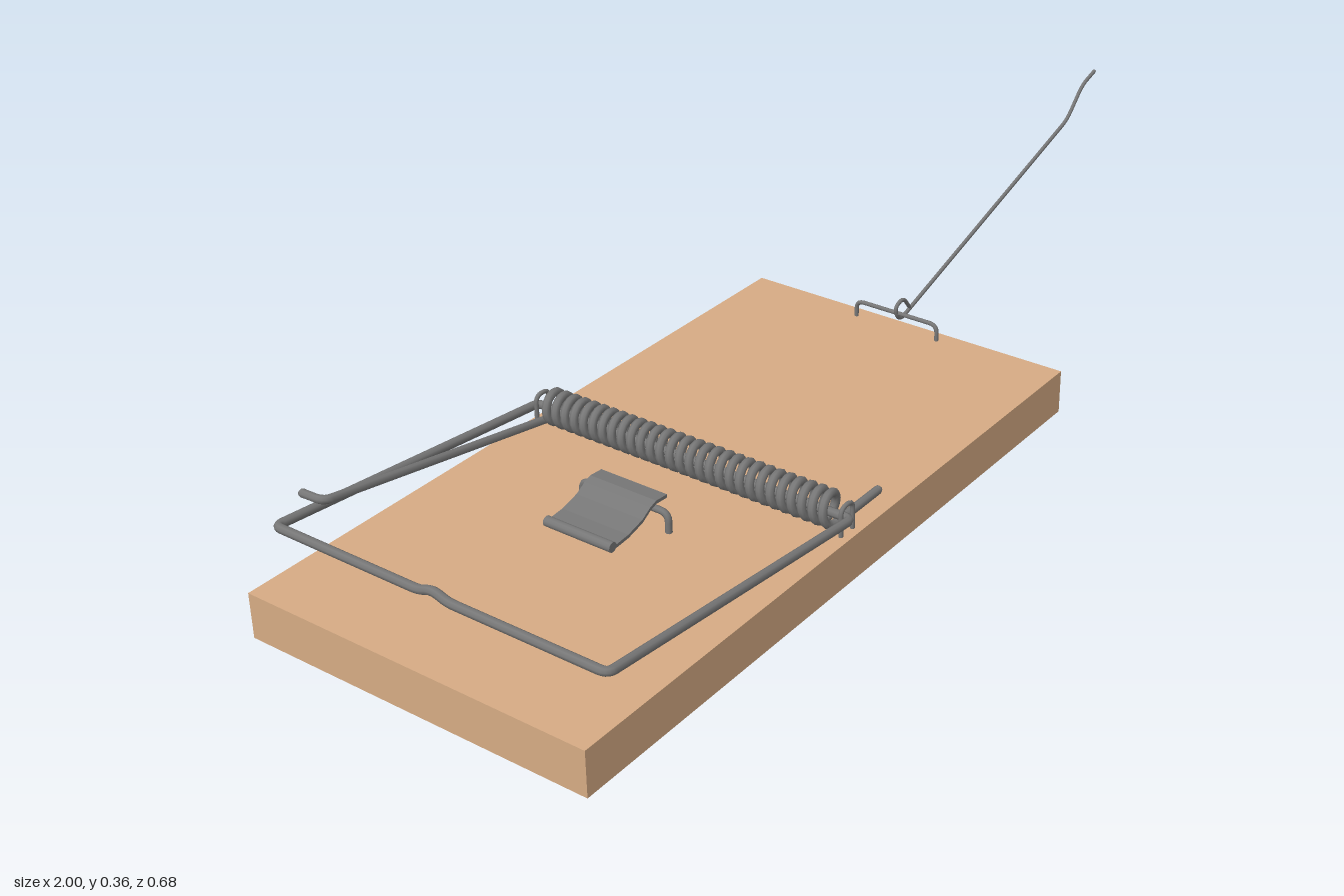
import * as THREE from 'three';
import { mergeGeometries } from 'three/addons/utils/BufferGeometryUtils.js';

const wood = new THREE.MeshStandardMaterial({ color: 0xd6ab84 });
const steel = new THREE.MeshStandardMaterial({ color: 0x777777 });
const V = (x, y, z) => new THREE.Vector3(x, y, z);

// Curve that visits its points one per segment, so bends stay crisp
class PointPath extends THREE.Curve {
  constructor(points) { super(); this.points = points; }
  getPoint(t) {
    const f = t * (this.points.length - 1);
    const i = Math.min(Math.floor(f), this.points.length - 2);
    return this.points[i].clone().lerp(this.points[i + 1], f - i);
  }
  getPointAt(t) { return this.getPoint(t); }
  getTangentAt(t) {
    const d = 0.5 / (this.points.length - 1);
    return this.getPoint(Math.min(1, t + d)).sub(this.getPoint(Math.max(0, t - d))).normalize();
  }
}

// Polyline with rounded corners
function rounded(points, bend) {
  const out = [points[0]];
  for (let i = 1; i < points.length - 1; i++) {
    const p = points[i];
    const toward = (q) => {
      const d = q.clone().sub(p), len = d.length();
      return p.clone().add(d.multiplyScalar(Math.min(bend, len * 0.45) / len));
    };
    out.push(...new THREE.QuadraticBezierCurve3(toward(points[i - 1]), p, toward(points[i + 1])).getPoints(5));
  }
  out.push(points[points.length - 1]);
  return out;
}

// Round wire with closed ends
function wire(name, points, radius) {
  const parts = [new THREE.TubeGeometry(new PointPath(points), points.length - 1, radius, 8, false)];
  for (const p of [points[0], points[points.length - 1]]) {
    parts.push(new THREE.SphereGeometry(radius, 8, 6).translate(p.x, p.y, p.z));
  }
  const mesh = new THREE.Mesh(mergeGeometries(parts), steel);
  mesh.name = name;
  return mesh;
}

export function createModel() {
  const group = new THREE.Group();
  group.name = 'springTrap';

  // Wooden board
  const board = new THREE.Mesh(new THREE.BoxGeometry(1.305, 0.081, 0.654), wood);
  board.position.set(-0.3475, 0.0405, 0.009);
  board.name = 'board';
  group.add(board);

  // Coil spring with a tail resting on the board and an arm hooked over the hammer
  const cx = -0.348, cy = 0.114, R = 0.0255, turns = 29, steps = 18;
  const zStart = 0.297, zEnd = -0.287, endAngle = turns * Math.PI * 2 + 0.17;
  const spring = [V(-0.225, cy - R, zStart)];
  for (let i = 0; i <= turns * steps; i++) {
    const t = i / (turns * steps), a = t * endAngle;
    spring.push(V(cx - R * Math.sin(a), cy - R * Math.cos(a), zStart + (zEnd - zStart) * t));
  }
  const hook = rounded([spring[spring.length - 1], V(-0.855, 0.177, -0.295), V(-0.857, 0.177, -0.337)], 0.015);
  group.add(wire('spring', spring.concat(hook.slice(1)), 0.0075));

  // Hammer: square loop whose axle runs through the spring
  const near = 0.329, far = -0.312, tip = -0.938, top = 0.169;
  const hammer = [
    V(cx, 0.108, far + 0.01), V(cx, 0.108, near), V(tip, top, near),
    V(tip, top, 0.037), V(tip, top + 0.008, 0.016), V(tip, top + 0.008, 0.002), V(tip, top, -0.019),
    V(tip, top, far), V(cx, 0.108, far), V(cx, 0.108, far + 0.03),
  ];
  group.add(wire('hammer', rounded(hammer, 0.014), 0.0078));

  // Staples holding the axle at both ends of the spring
  for (const z of [0.32, -0.302]) {
    const staple = [V(cx - 0.016, 0.06, z), V(cx - 0.016, 0.132, z), V(cx + 0.016, 0.132, z), V(cx + 0.016, 0.06, z)];
    group.add(wire('axleStaple', rounded(staple, 0.014), 0.004));
  }

  // Wide staples under the bait plate and the locking bar
  for (const [name, x, y, r] of [['plateStaple', -0.507, 0.116, 0.006], ['lockStaple', 0.278, 0.112, 0.004]]) {
    const staple = [V(x, 0.06, 0.093), V(x, y, 0.093), V(x, y, -0.081), V(x, 0.06, -0.081)];
    group.add(wire(name, rounded(staple, 0.016), r));
  }

  // Bait plate: bent sheet with a curled front edge
  const profile = [[-0.615, 0.094], [-0.575, 0.097], [-0.54, 0.106], [-0.52, 0.118], [-0.505, 0.123], [-0.478, 0.121]];
  const sheet = new THREE.Shape();
  profile.forEach(([x, y], i) => (i ? sheet.lineTo(x, y) : sheet.moveTo(x, y)));
  [...profile].reverse().forEach(([x, y]) => sheet.lineTo(x, y + 0.006));
  const plate = new THREE.Mesh(new THREE.ExtrudeGeometry(sheet, { depth: 0.133, bevelEnabled: false }), steel);
  plate.position.z = -0.065;
  plate.name = 'baitPlate';
  const curl = new THREE.Mesh(new THREE.CylinderGeometry(0.009, 0.009, 0.133, 12), steel);
  curl.rotation.x = Math.PI / 2;
  curl.position.set(-0.613, 0.1, 0.0015);
  curl.name = 'baitPlateCurl';
  group.add(plate, curl);

  // Locking bar looped around its staple
  const lock = [[0.997, 0.357], [0.95, 0.343], [0.893, 0.287], [0.285, 0.093], [0.268, 0.125], [0.297, 0.136], [0.319, 0.108]];
  group.add(wire('lockingBar', rounded(lock.map(([x, y]) => V(x, y, 0.008)), 0.02), 0.0037));

  return group;
}
